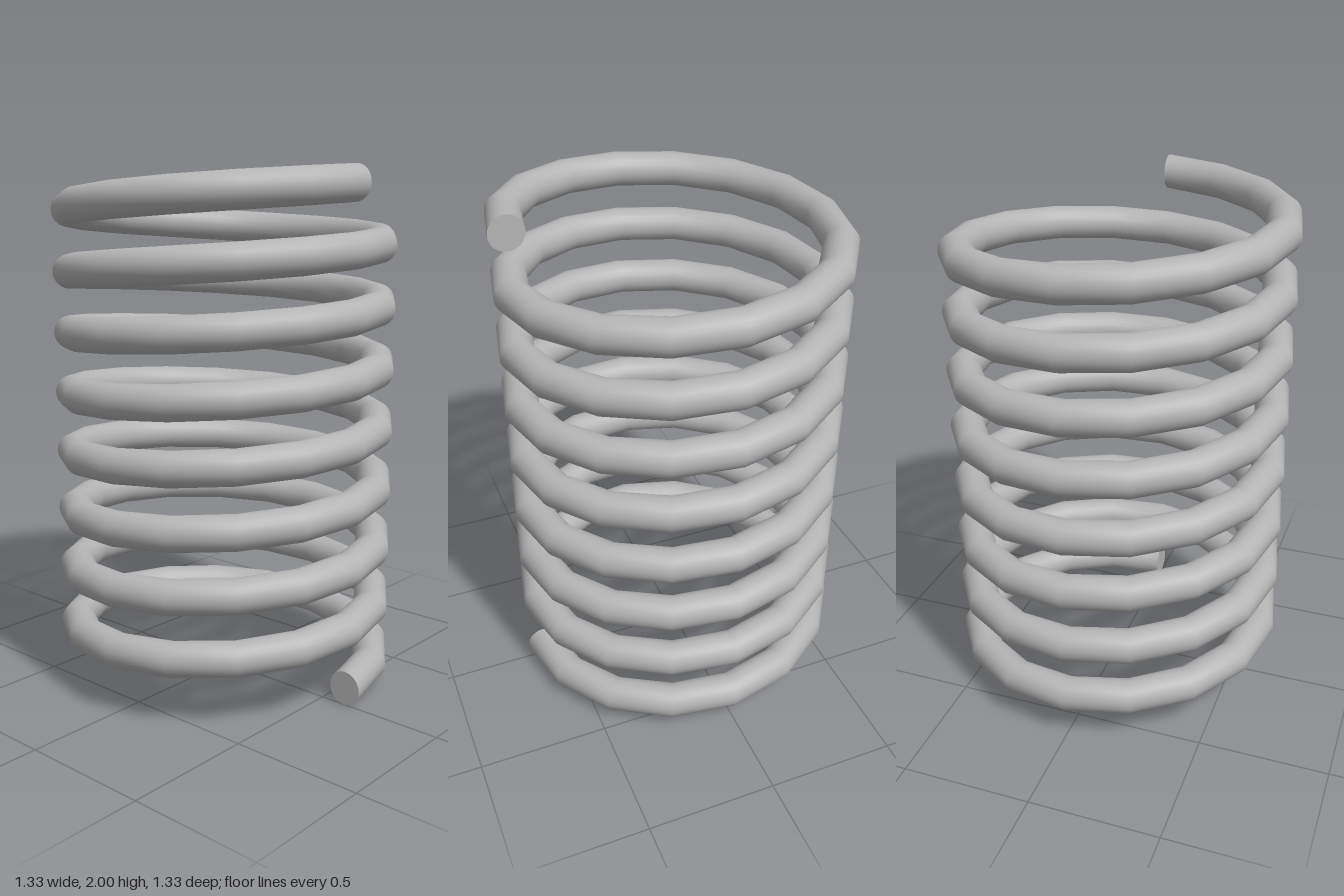
import * as THREE from 'three';

const TURNS = 8, STEPS = 16;        // coils and straight segments per coil
const COIL_R = 0.6, WIRE_R = 0.066; // coil radius and wire radius
const RISE = 2 - 2 * WIRE_R;

// Bends a capped straight rod (along y) into a rising helix.
function coilGeometry() {
  const geo = new THREE.CylinderGeometry(WIRE_R, WIRE_R, 1, 24, TURNS * STEPS);
  const pos = geo.attributes.position, nor = geo.attributes.normal;
  for (let i = 0; i < pos.count; i++) {
    const t = pos.getY(i) + 0.5;
    const a = t * TURNS * Math.PI * 2;
    const c = Math.cos(a), s = Math.sin(a);
    const r = COIL_R + pos.getX(i);
    const nx = nor.getX(i), ny = nor.getY(i), nz = nor.getZ(i);
    pos.setXYZ(i, r * c, WIRE_R + t * RISE + pos.getZ(i), -r * s);
    nor.setXYZ(i, nx * c - ny * s, nz, -nx * s - ny * c);
  }
  return geo;
}

export function createModel() {
  const group = new THREE.Group();
  group.name = 'coilSpring';
  const steel = new THREE.MeshStandardMaterial({ color: 0xb4b4b4 });
  steel.name = 'steel grey';

  // Spring wire with flat cut ends
  const wire = new THREE.Mesh(coilGeometry(), steel);
  wire.name = 'springWire';
  group.add(wire);
  return group;
}
